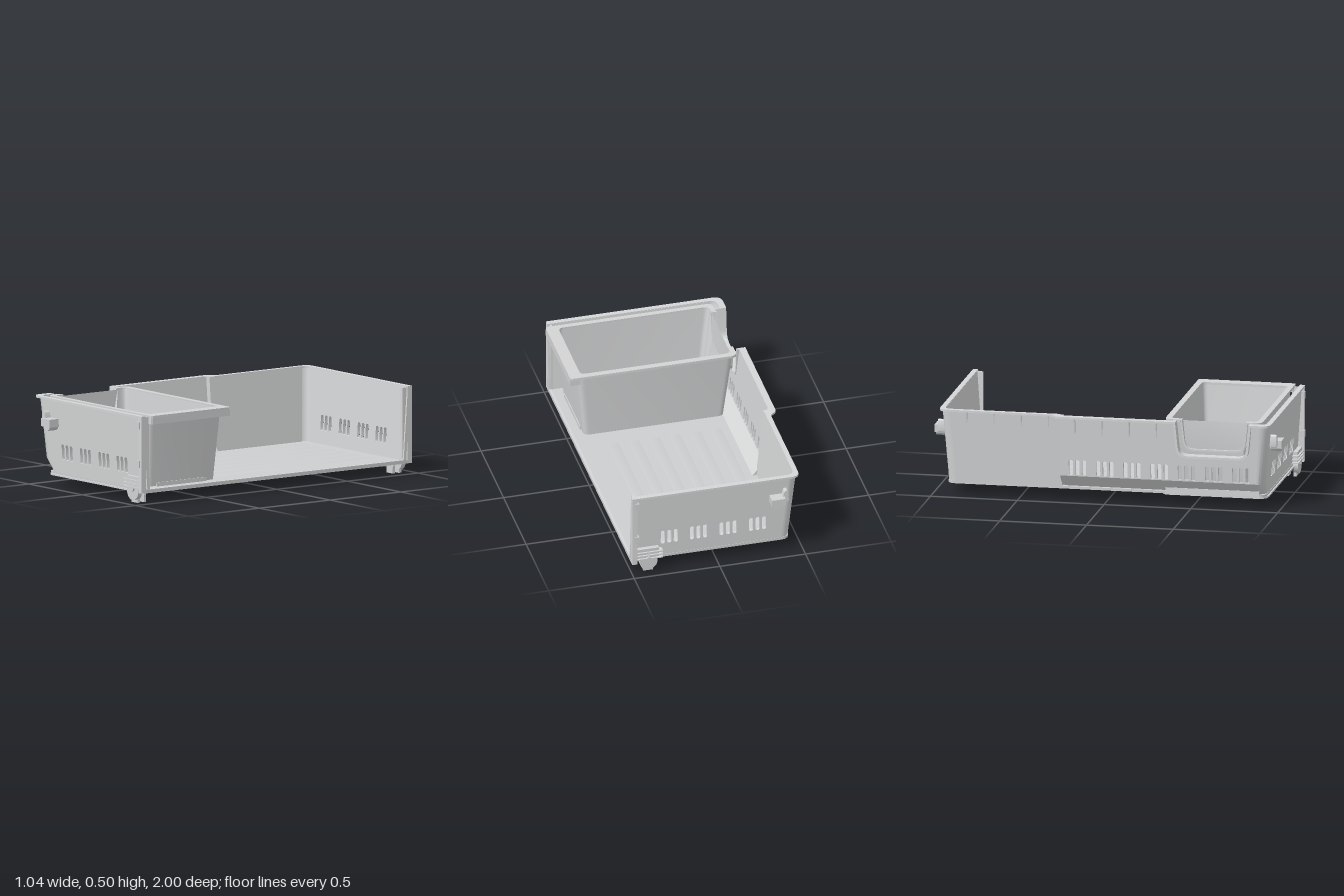
import * as THREE from 'three';
import { toCreasedNormals } from 'three/addons/utils/BufferGeometryUtils.js';

const material = (name, color) => {
  const m = new THREE.MeshStandardMaterial({ color, side: THREE.DoubleSide });
  m.name = name;
  return m;
};

// Shape from [x, y, cornerRadius] points
function rounded(points, Type = THREE.Shape) {
  const shape = new Type();
  const n = points.length;
  points.forEach(([x, y, r = 0], i) => {
    const p = new THREE.Vector2(x, y);
    const toward = (q) => p.clone().add(new THREE.Vector2(q[0] - x, q[1] - y).setLength(r));
    const a = r ? toward(points[(i + n - 1) % n]) : p;
    if (i === 0) shape.moveTo(a.x, a.y); else shape.lineTo(a.x, a.y);
    if (r) {
      const b = toward(points[(i + 1) % n]);
      shape.quadraticCurveTo(x, y, b.x, b.y);
    }
  });
  shape.closePath();
  return shape;
}

const slot = (u) => rounded([[u - 0.012, 0.156, 0.011], [u + 0.012, 0.156, 0.011],
  [u + 0.012, 0.245, 0.011], [u - 0.012, 0.245, 0.011]], THREE.Path);
const slots = (centres) => centres.flatMap((c) => [-0.038, 0, 0.038].map((d) => slot(c + d)));

const extrude = (shape, depth) =>
  new THREE.ExtrudeGeometry(shape, { depth, bevelEnabled: false, curveSegments: 6 });
// Plan shape (x, z) whose top lies at y = top
const slab = (shape, depth, top) => extrude(shape, depth).rotateX(Math.PI / 2).translate(0, top, 0);
// Profile shape (z, y) reaching from x = front towards -x
const acrossX = (shape, depth, front) => extrude(shape, depth).rotateY(-Math.PI / 2).translate(front, 0, 0);

function warp(geometry, rule) {
  const p = geometry.attributes.position;
  const v = new THREE.Vector3();
  for (let i = 0; i < p.count; i++) {
    v.fromBufferAttribute(p, i);
    rule(v, i);
    p.setXYZ(i, v.x, v.y, v.z);
  }
  geometry.computeVertexNormals();
  return geometry;
}

const T = 0.018, R = 0.05;                                // wall thickness, corner radius
const STEP = -0.255;                                      // where the back wall steps outwards
const sideZ = (y) => 0.945 - 0.03 * (0.5 - y) / 0.42;     // outer face of the side walls
const narrowX = (y) => -0.47 + 0.04 * (0.5 - y) / 0.42;   // outer face, narrow back wall
const wideX = (y) => -0.5 + 0.03 * (0.5 - y) / 0.35;      // outer face, wide back wall

export function createModel() {
  const model = new THREE.Group();
  const body = material('drawer grey', 0xd5d6d7);
  const floorGrey = material('floor grey', 0xcdcecf);
  const binGrey = material('bin grey', 0xd3d4d5);
  const hardware = material('hardware grey', 0xd0d1d2);

  const add = (name, geometry, mat, parent = model) => {
    const mesh = new THREE.Mesh(toCreasedNormals(geometry, 0.6), mat);
    mesh.name = name;
    parent.add(mesh);
    return mesh;
  };
  const box = (name, [x0, x1], [y0, y1], [z0, z1], mat, parent) =>
    add(name, new THREE.BoxGeometry(x1 - x0, y1 - y0, Math.abs(z1 - z0))
      .translate((x0 + x1) / 2, (y0 + y1) / 2, (z0 + z1) / 2), mat, parent);

  // Side walls with slots, leaning outwards
  const sideSlots = [-0.24, -0.068, 0.105, 0.275];
  const sideWall = (name, s, left) => {
    const shape = rounded([[0.5, 0.08], [0.5, 0.5], ...left]);
    shape.holes = slots(sideSlots);
    add(name, warp(extrude(shape, T), (v) => {
      v.z += s > 0 ? sideZ(v.y) - T : -sideZ(v.y);
    }), body);
  };
  sideWall('leftSideWall', 1, [[-0.5 + R, 0.5], [-0.47 + R, 0.15], [-0.41 + R, 0.08]]);
  sideWall('rightSideWall', -1, [[-0.47 + R, 0.5], [-0.43 + R, 0.08]]);

  // Rounded vertical corners
  const corner = (name, s, levels) => {
    const g = new THREE.PlaneGeometry(1, 1, 8, levels.length - 1);
    add(name, warp(g, (v, i) => {
      const [y, x] = levels[Math.floor(i / 9)];
      const a = (i % 9) / 8 * Math.PI / 2;
      v.set(x + R - R * Math.cos(a), y, s * (sideZ(y) - R + R * Math.sin(a)));
    }), body);
  };
  corner('wideCorner', 1, [[0.5, -0.5], [0.15, -0.47], [0.08, -0.41]]);
  corner('narrowCorner', -1, [[0.5, -0.47], [0.08, -0.43]]);

  // Back wall: narrow part, wide part with a dip, and the step between them
  const groups = Array.from({ length: 11 }, (_, i) => -0.786 + i * 0.157);
  const narrow = rounded([[-sideZ(0.08) + R, 0.08], [STEP, 0.08], [STEP, 0.5], [-sideZ(0.5) + R, 0.5]]);
  narrow.holes = slots(groups.slice(0, 4));
  add('narrowBackWall', warp(acrossX(narrow, T, T), (v) => { v.x += narrowX(v.y); }), body);
  const wide = rounded([[STEP, 0.15], [STEP, 0.5], [0.41, 0.5, 0.03], [0.43, 0.3, 0.06], [0.82, 0.3, 0.06],
    [0.84, 0.5, 0.03], [sideZ(0.5) - R, 0.5], [sideZ(0.15) - R, 0.15]]);
  wide.holes = slots(groups.slice(4));
  add('wideBackWall', warp(acrossX(wide, T, T), (v) => { v.x += wideX(v.y); }), body);
  add('backChamfer', extrude(rounded([[-0.47, 0.15], [-0.41, 0.08], [-0.385, 0.08], [-0.452, 0.155]]), 0.87 - STEP)
    .translate(0, 0, STEP), body);
  add('backStep', extrude(rounded([[-0.5, 0.5], [-0.452, 0.5], [-0.412, 0.08], [-0.41, 0.08], [-0.47, 0.15]]), T)
    .translate(0, 0, STEP - 0.004), body);

  // Rim flange, broken by the dip
  add('rim', slab(rounded([[0.5, -0.957], [-0.48, -0.957, 0.05], [-0.48, -0.3, 0.02], [-0.52, -0.275, 0.02],
    [-0.52, 0.41], [-0.482, 0.41], [-0.482, -0.24, 0.015], [-0.452, -0.265, 0.015], [-0.452, -0.928, 0.04],
    [0.5, -0.928]]), 0.012, 0.503), body);
  add('rimEnd', slab(rounded([[0.5, 0.957], [-0.52, 0.957, 0.05], [-0.52, 0.84], [-0.482, 0.84],
    [-0.482, 0.928, 0.04], [0.5, 0.928]]), 0.012, 0.503), body);
  const dipFlange = (z0, z1, y, t) => rounded([[z0 - 0.02, 0.503], [z0, y, 0.06], [z1, y, 0.06], [z1 + 0.02, 0.503],
    [z1 + 0.02 - t, 0.503], [z1 - t, y + t, 0.05], [z0 + t, y + t, 0.05], [z0 - 0.02 + t, 0.503]]);
  add('dipFlange', acrossX(dipFlange(0.42, 0.83, 0.296, 0.013), 0.055, -0.465), body);

  // Gussets under the back rim
  for (let i = 0; i < 8; i++) {
    const z = -0.8 + i * 0.157;
    const x = z < -0.28 ? -0.479 : -0.517;
    add('rimGusset', extrude(rounded([[x, 0.495], [x + 0.022, 0.495], [x + 0.022, 0.4]]), 0.006)
      .translate(0, 0, z), body);
  }

  // Floor with low ribs, and the plate under the bin
  add('floor', slab(rounded([[0.5, -0.917], [-0.43, -0.917, 0.05], [-0.43, 0.917, 0.05], [0.5, 0.917]]), 0.015, 0.08), floorGrey);
  for (let i = 0; i < 6; i++) {
    const x = -0.31 + i * 0.12;
    add('floorRib', warp(new THREE.BoxGeometry(0.07, 0.004, 1.1), (v) => {
      if (v.y > 0) { v.x *= 0.5; v.z *= 0.96; }
    }).translate(x, 0.081, -0.28), floorGrey);
  }
  add('underPlate', slab(rounded([[0.48, 0.32, 0.02], [-0.43, 0.32, 0.04], [-0.43, 0.925, 0.06], [0.48, 0.925]]), 0.01, 0.068), body);
  box('underPlateLip', [-0.43, -0.415], [0.06, 0.1], [0.34, 0.88], body);
  box('frontSill', [0.485, 0.5], [0.062, 0.083], [-0.93, 0.93], body);

  // Removable bin: tapered tub whose back wall dips
  const bin = new THREE.Group();
  bin.name = 'bin';
  model.add(bin);
  const ring = (x0, x1, z0, z1, r, Type) => rounded([[x1, z0, r], [x0, z0, r], [x0, 0.43], [x0, 0.46],
    [x0, 0.79], [x0, 0.82], [x0, z1, r], [x1, z1, r]], Type);
  const tub = ring(-0.44, 0.47, 0.36, 0.885, 0.04);
  tub.holes = [ring(-0.425, 0.455, 0.375, 0.87, 0.03, THREE.Path)];
  add('binWalls', warp(slab(tub, 0.41, 0.495), (v) => {
    if (v.y < 0.2) {
      v.x = 0.02 + (v.x - 0.015) * 0.9;
      v.z = 0.624 + (v.z - 0.6225) * 0.92;
    } else if (v.x < -0.42 && v.z > 0.45 && v.z < 0.8) v.y = 0.33;
  }), binGrey, bin);
  add('binFloor', slab(rounded([[0.425, 0.388, 0.03], [-0.385, 0.388, 0.03], [-0.385, 0.86, 0.03], [0.425, 0.86, 0.03]]),
    0.014, 0.1), binGrey, bin);
  add('binRim', slab(rounded([[-0.455, 0.43], [-0.455, 0.34, 0.04], [0.52, 0.34, 0.02], [0.52, 0.9, 0.02],
    [-0.455, 0.9, 0.04], [-0.455, 0.82], [-0.425, 0.82], [-0.425, 0.87, 0.03], [0.452, 0.87, 0.03],
    [0.452, 0.375, 0.03], [-0.425, 0.375, 0.03], [-0.425, 0.43]]), 0.014, 0.504), binGrey, bin);
  box('binRimSkirt', [0.508, 0.52], [0.455, 0.495], [0.35, 0.89], binGrey, bin);
  for (const z of [0.342, 0.89]) box('binRimReturn', [0.46, 0.515], [0.455, 0.495], [z, z + 0.008], binGrey, bin);
  add('binDipFlange', acrossX(dipFlange(0.45, 0.8, 0.325, 0.01), 0.03, -0.425), binGrey, bin);
  box('binFootTab', [0.42, 0.436], [0.082, 0.105], [0.45, 0.8], binGrey, bin);
  box('binDrainTab', [-0.368, -0.358], [0.1, 0.106], [0.605, 0.64], binGrey, bin);

  // Knurled mat of small pyramids on the bin floor
  box('matBase', [-0.35, 0.345], [0.1, 0.106], [0.415, 0.825], binGrey, bin);
  add('knurledMat', warp(new THREE.PlaneGeometry(0.66, 0.39, 66, 40).rotateX(-Math.PI / 2), (v, i) => {
    v.y = (i % 67) % 2 && Math.floor(i / 67) % 2 ? 0.003 : 0;
  }).translate(0, 0.107, 0.62), binGrey, bin);

  // Hardware on both sides
  for (const s of [1, -1]) {
    const disc = (name, x, y, r, z, depth) => add(name,
      new THREE.CylinderGeometry(r, r, depth, 24).rotateX(Math.PI / 2).translate(x, y, s * z), hardware);
    const block = (name, xs, ys, z0, z1, mat = hardware) => box(name, xs, ys, [s * z0, s * z1], mat);

    // Front end strip with clips
    block('endStrip', [0.47, 0.5], [0.063, 0.5], 0.925, 0.957, body);
    block('endLip', [0.475, 0.49], [0.075, 0.495], 0.895, 0.93, body);
    for (const y of [0.45, 0.228]) block('endClip', [0.46, 0.485], [y - 0.02, y + 0.02], 0.93, 0.962);

    // Roller with its ribbed holder and foot
    block('rollerHolder', [0.34, 0.47], [0.08, 0.15], 0.905, 0.945);
    for (const y of [0.085, 0.105, 0.125]) block('holderRib', [0.32, 0.47], [y, y + 0.007], 0.905, 0.956);
    disc('outerRoller', 0.402, 0.065, 0.052, 0.932, 0.028);
    disc('rollerHub', 0.402, 0.08, 0.018, 0.945, 0.022);
    disc('innerRoller', 0.402, 0.042, 0.03, 0.88, 0.016);
    block('outerFoot', [0.373, 0.43], [0, 0.03], 0.915, 0.933);
    block('innerFoot', [0.373, 0.43], [0, 0.066], 0.872, 0.888);

    // Rear hanger with fin and pin
    block('hangerPlate', [-0.385, -0.305], [0.345, 0.39], 0.925, 1.0);
    add('hangerFin', extrude(rounded([[-0.41, 0.355, 0.008], [-0.37, 0.36, 0.008], [-0.385, 0.425, 0.01],
      [-0.405, 0.43, 0.01]]), 0.045).translate(0, 0, s > 0 ? 0.93 : -0.975), hardware);
    disc('hangerRoller', -0.34, 0.355, 0.033, 0.965, 0.06);
    disc('hangerPin', -0.34, 0.368, 0.012, 0.97, 0.06);
  }
  return model;
}
